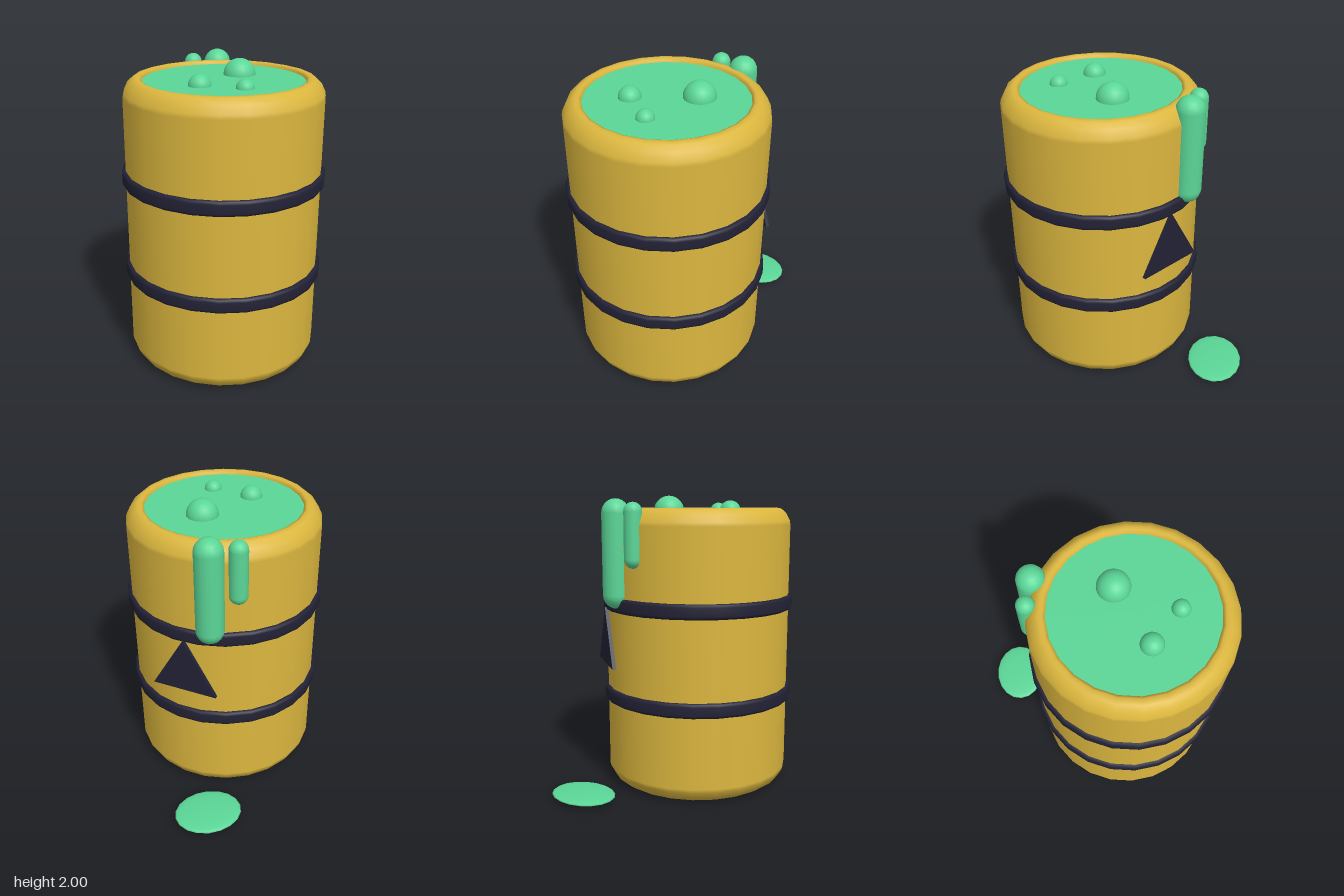
import * as THREE from 'three';

const material = (name, color, side = THREE.FrontSide) => {
  const m = new THREE.MeshStandardMaterial({ color, side });
  m.name = name;
  return m;
};

export function createModel() {
  const gold = material('mustard yellow', 0xdbb63e, THREE.DoubleSide);
  const dark = material('dark navy', 0x222236);
  const slime = material('slime green', 0x5bd697);

  const model = new THREE.Group();
  model.name = 'slimeBarrel';
  const barrel = new THREE.Group();
  barrel.name = 'barrel';
  barrel.position.z = 0.185;
  model.add(barrel);

  const add = (parent, name, geometry, mat, x = 0, y = 0, z = 0) => {
    const mesh = new THREE.Mesh(geometry, mat);
    mesh.name = name;
    mesh.position.set(x, y, z);
    parent.add(mesh);
    return mesh;
  };
  const lathe = (points) =>
    new THREE.LatheGeometry(points.map(([r, y]) => new THREE.Vector2(r, y)), 24);

  // Drum shell with bevelled ends and an open lip
  add(barrel, 'drum', lathe([
    [0, 0], [0.54, 0], [0.56, 0.005], [0.605, 0.035], [0.635, 0.085], [0.64, 0.11],
    [0.64, 1.81], [0.635, 1.835], [0.61, 1.885], [0.575, 1.915], [0.555, 1.92],
    [0.535, 1.92], [0.518, 1.912], [0.514, 1.88],
  ]), gold);

  // Two rounded hoops
  for (const y of [0.645, 1.285]) {
    add(barrel, 'hoop', lathe([
      [0.625, -0.05], [0.645, -0.05], [0.658, -0.043], [0.664, -0.028],
      [0.664, 0.028], [0.658, 0.043], [0.645, 0.05], [0.625, 0.05],
    ]), dark, 0, y);
  }

  // Slime surface inside the lip
  const surface = new THREE.CircleGeometry(0.52, 24).rotateX(-Math.PI / 2);
  add(barrel, 'slimeSurface', surface, slime, 0, 1.898);

  // Bubbles rising through the surface: x, z, radius
  for (const [x, z, r] of [[0.17, 0.08, 0.105], [-0.21, 0.27, 0.073], [0, 0.46, 0.058]]) {
    add(model, 'bubble', new THREE.SphereGeometry(r, 20, 14), slime, x, 1.897, z);
  }

  // Drips over the back edge: x, z, radius, lower and upper cap centres
  for (const [x, z, r, low, high] of [
    [0.255, -0.403, 0.092, 1.358, 1.89],
    [0.085, -0.44, 0.06, 1.6, 1.9],
  ]) {
    add(model, 'drip', new THREE.CapsuleGeometry(r, high - low, 6, 16), slime, x, (low + high) / 2, z);
  }

  // Triangular warning plate, tangent to the drum
  const direction = Math.atan2(0.63, -0.777);
  const corners = [0, 1, 2].map((i) => {
    const a = Math.PI / 2 + (i * Math.PI * 2) / 3;
    return new THREE.Vector2(0.26 * Math.cos(a), 0.26 * Math.sin(a));
  });
  const plate = new THREE.ExtrudeGeometry(new THREE.Shape(corners), { depth: 0.025, bevelEnabled: false });
  const sign = add(barrel, 'warningPlate', plate, dark,
    0.642 * Math.sin(direction), 0.993, 0.642 * Math.cos(direction));
  sign.rotation.y = direction;

  // Flat puddle behind the drum
  const puddle = add(model, 'puddle', new THREE.SphereGeometry(1, 18, 12), slime, 0.36, 0.03, -0.665);
  puddle.scale.set(0.23, 0.022, 0.185);

  return model;
}
